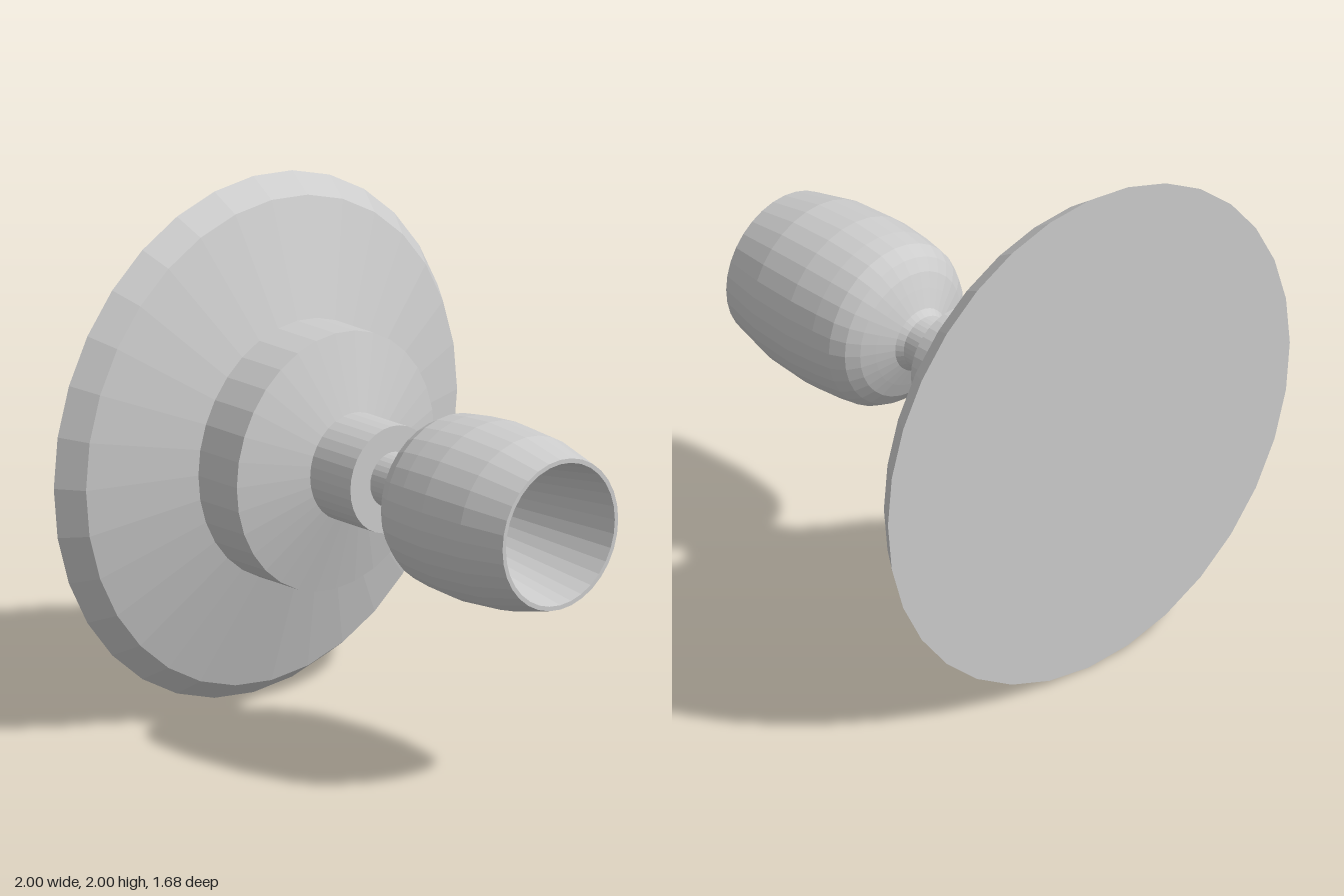
import * as THREE from 'three';

const SEGMENTS = 32;

// Turned part around the z axis; profile is [radius, z] from back to front
function turned(name, profile, material) {
  const points = profile.map(([r, z]) => new THREE.Vector2(r, z));
  const geometry = new THREE.LatheGeometry(points, SEGMENTS);
  geometry.rotateX(Math.PI / 2);
  const mesh = new THREE.Mesh(geometry, material);
  mesh.name = name;
  mesh.position.y = 1;
  return mesh;
}

export function createModel() {
  const grey = new THREE.MeshStandardMaterial({ color: 0xcccccc, flatShading: true });
  const group = new THREE.Group();
  group.name = 'wallFixture';

  // Wide plate with bevelled rim, stepping up to a raised hub
  group.add(turned('wallPlate', [
    [0, -0.84], [1, -0.84], [0.93, -0.74], [0.495, -0.6],
    [0.495, -0.39], [0.205, -0.305], [0, -0.305],
  ], grey));

  // Thick collar in front of the hub
  group.add(turned('collar', [
    [0, -0.305], [0.205, -0.305], [0.205, -0.085], [0, -0.085],
  ], grey));

  // Thin neck carrying the cup
  group.add(turned('neck', [
    [0, -0.085], [0.105, -0.085], [0.105, 0.07], [0, 0.07],
  ], grey));

  // Barrel-shaped cup: outer wall, thin rim, tapered bore and flat floor
  group.add(turned('cup', [
    [0, 0.065], [0.105, 0.065], [0.125, 0.09], [0.195, 0.12], [0.25, 0.145],
    [0.295, 0.18], [0.325, 0.235], [0.337, 0.32], [0.346, 0.45],
    [0.333, 0.65], [0.29, 0.84],
    [0.273, 0.84], [0.15, 0.14], [0, 0.14],
  ], grey));

  return group;
}
